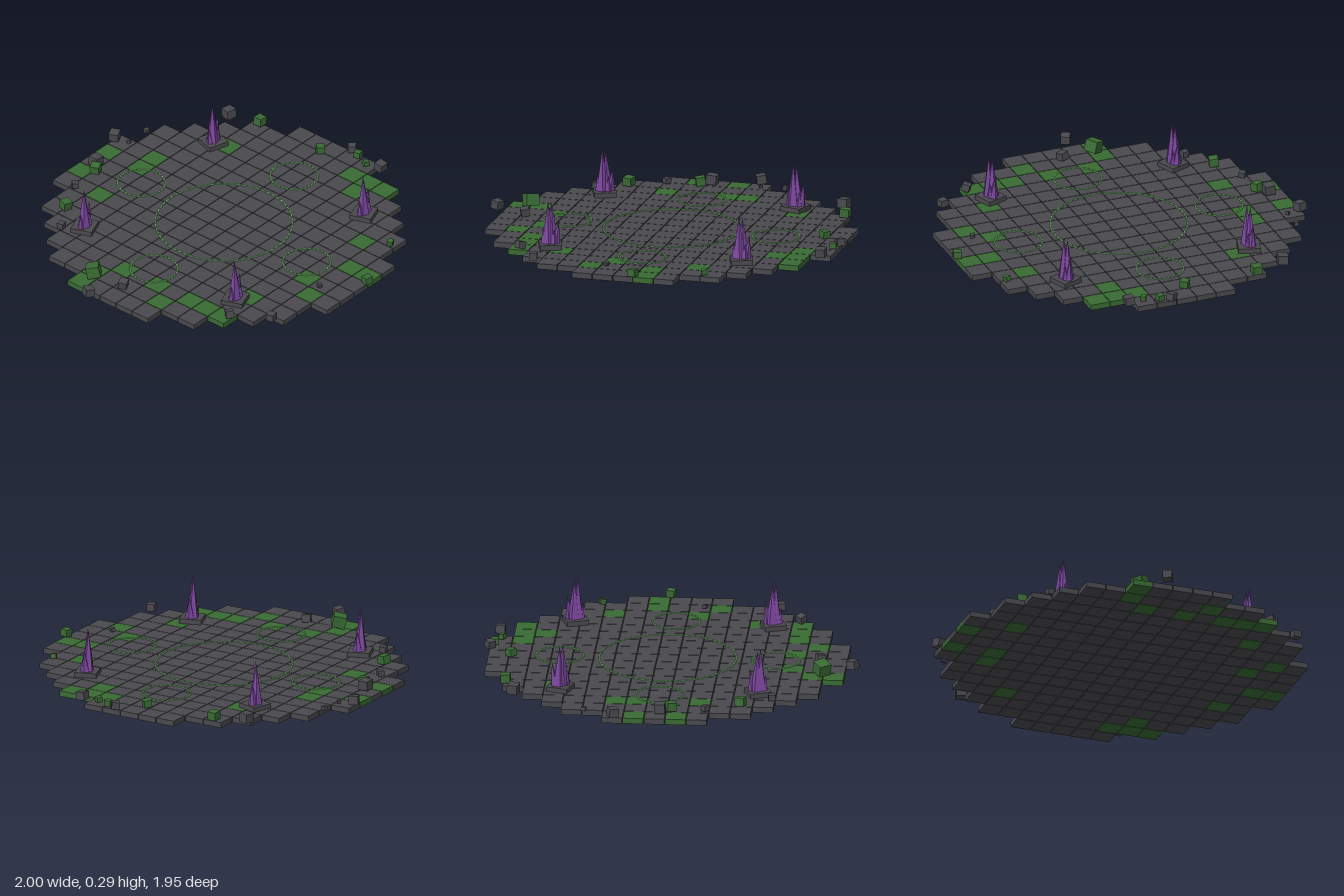
import * as THREE from 'three';

const mat = (name, color) => {
  const m = new THREE.MeshStandardMaterial({ color });
  m.name = name;
  return m;
};

export function createModel() {
  const stone = mat('dark stone', 0x4a494e);
  const moss = mat('moss green', 0x3a6b34);
  const crystal = mat('purple crystal', 0x7d479f);
  const glow = mat('rune green', 0x80d878);
  const root = new THREE.Group();
  const CX = 0.02, PITCH = 0.112, TOP = 0.034;

  const add = (parent, name, geo, material, x, y, z) => {
    const mesh = new THREE.Mesh(geo, material);
    mesh.name = name;
    mesh.position.set(x, y, z);
    parent.add(mesh);
    return mesh;
  };

  // Round floor of square tiles, some of them mossy (row: columns)
  const mossy = {
    '-8': [-1, 1], '-6': [-2, 1, 2], '-4': [5], '-2': [-8, -7], '-1': [-6],
    1: [-6], 2: [-7, 7], 3: [-6, 6, 7], 4: [-6, 7], 5: [-6, -4],
    6: [-1, 3], 7: [-2, 1], 8: [1],
  };
  const floor = new THREE.Group();
  floor.name = 'tiledFloor';
  root.add(floor);
  const tileGeo = new THREE.BoxGeometry(0.108, TOP - 0.004, 0.108);
  for (let j = -8; j <= 8; j++) {
    for (let i = -8; i <= 8; i++) {
      if (i * i + j * j > 68) continue;
      const green = (mossy[j] || []).includes(i);
      add(floor, green ? 'mossTile' : 'stoneTile', tileGeo, green ? moss : stone,
        CX + i * PITCH, (TOP + 0.004) / 2, j * PITCH);
    }
  }

  // Dashed rune circles lying on the tiles
  const dashedRing = (name, x, z, r, count) => {
    const ring = new THREE.Group();
    ring.name = name;
    ring.position.set(x, TOP + 0.003, z);
    const step = (Math.PI * 2) / count;
    const dash = new THREE.BoxGeometry(0.008, 0.005, r * step * 0.72);
    for (let k = 0; k < count; k++) {
      const a = k * step;
      add(ring, 'runeDash', dash, glow, Math.cos(a) * r, 0, Math.sin(a) * r).rotation.y = -a;
    }
    root.add(ring);
  };
  dashedRing('centreRing', CX, 0, 0.363, 64);
  for (const [dx, dz] of [[1, 0], [-1, 0], [0, 1], [0, -1]])
    dashedRing('smallRing', CX + dx * 0.573, dz * 0.573, 0.126, 32);

  // Crystal clusters on turned plinths
  const spikes = [ // x, z, radius, height, lean
    [-0.012, 0.005, 0.034, 0.235, 0],
    [0.006, -0.008, 0.034, 0.225, 0.03],
    [0.036, -0.006, 0.024, 0.13, -0.12],
    [-0.036, 0.006, 0.02, 0.09, 0.1],
    [0.024, 0.012, 0.018, 0.085, -0.05],
  ];
  for (const [x, z, turn] of [[-0.5, -0.525, 0.36], [0.55, -0.525, -0.3], [-0.5, 0.52, 0.34], [0.55, 0.52, 0.34]]) {
    const cluster = new THREE.Group();
    cluster.name = 'crystalCluster';
    cluster.position.set(x, TOP, z);
    root.add(cluster);
    add(cluster, 'plinth', new THREE.BoxGeometry(0.118, 0.026, 0.118), stone, 0, 0.013, 0).rotation.y = turn;
    spikes.forEach(([sx, sz, r, h, lean], k) => {
      const geo = new THREE.ConeGeometry(r, h, 5).toNonIndexed();
      geo.computeVertexNormals();
      geo.rotateY(k * 1.3 + turn);
      add(cluster, 'crystalSpike', geo, crystal, sx, 0.022 + h / 2, sz).rotation.z = lean;
    });
  }

  // Loose cubes of rubble: x, z, size
  const rubble = [
    [stone, [[0.24, -0.945, 0.052], [0.4, -0.86, 0.024], [0.262, -0.866, 0.018], [-0.005, -0.866, 0.056],
      [-0.24, -0.813, 0.033], [-0.578, -0.62, 0.036], [-0.968, -0.1, 0.05], [-0.791, -0.01, 0.046],
      [0.791, -0.62, 0.056], [0.968, 0.086, 0.043], [0.93, 0.315, 0.05], [-0.642, 0.6, 0.043],
      [-0.519, 0.786, 0.043], [-0.118, 0.78, 0.022]]],
    [moss, [[-0.059, -0.823, 0.05], [-0.422, -0.722, 0.05], [-0.813, -0.198, 0.07], [0.845, -0.45, 0.05],
      [0.85, -0.037, 0.043], [0.947, 0.144, 0.036], [0.914, 0.225, 0.03], [0.428, 0.807, 0.03],
      [0.075, 0.947, 0.043]]],
  ];
  for (const [material, list] of rubble) {
    list.forEach(([x, z, s], k) => {
      const cube = add(root, 'rubbleCube', new THREE.BoxGeometry(s, s * 0.9, s), material, x, TOP + s * 0.55 + 0.002, z);
      cube.rotation.set(Math.sin(k * 2.1) * 0.15, 0.4 + k * 0.9, Math.cos(k * 1.7) * 0.15);
    });
  }
  return root;
}
